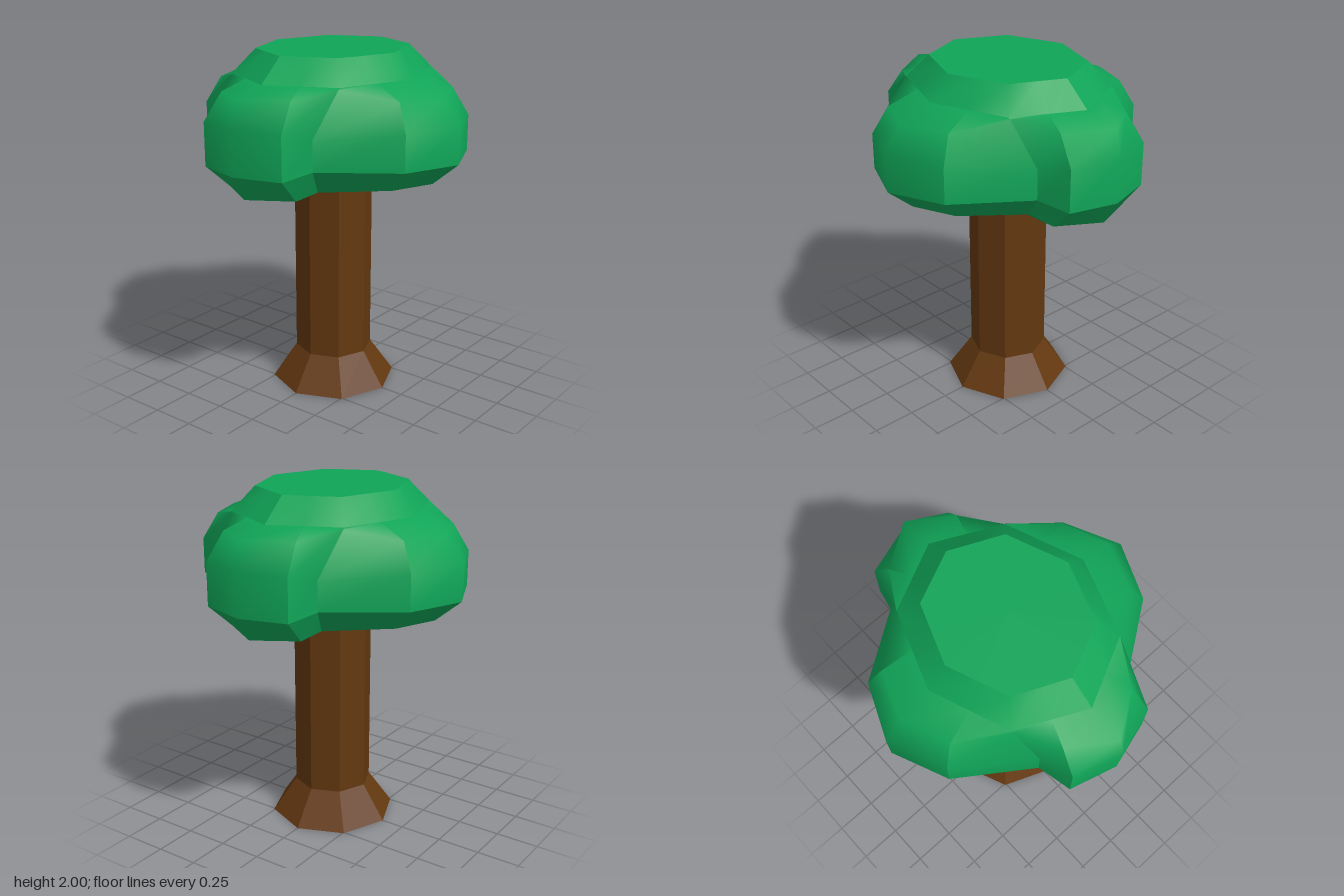
import * as THREE from 'three';
import { mergeGeometries } from 'three/addons/utils/BufferGeometryUtils.js';

// Crown columns for one quadrant, from the front lobe round to the side lobe.
// Each runs from the flat top down to the trunk as [x, y, z].
const QUADRANT = [
  [[0, 2, 0.41], [0, 1.87, 0.53], [0, 1.8, 0.72], [0, 1.66, 0.83], [0, 1.45, 0.825], [0, 1.32, 0.67], [0, 1.225, 0.22]],
  [[0.165, 2, 0.348], [0.215, 1.87, 0.45], [0.26, 1.8, 0.62], [0.31, 1.65, 0.695], [0.31, 1.45, 0.695], [0.24, 1.32, 0.57], [0.08, 1.225, 0.188]],
  [[0.33, 2, 0.285], [0.43, 1.87, 0.37], [0.44, 1.86, 0.368], [0.58, 1.62, 0.31], [0.58, 1.45, 0.31], [0.45, 1.3, 0.24], [0.156, 1.225, 0.156]],
  [[0.395, 2, 0.143], [0.52, 1.87, 0.185], [0.66, 1.82, 0.235], [0.77, 1.67, 0.265], [0.77, 1.43, 0.265], [0.62, 1.29, 0.23], [0.188, 1.225, 0.08]],
  [[0.46, 2, 0], [0.61, 1.87, 0], [0.815, 1.83, 0], [0.855, 1.68, 0], [0.845, 1.43, 0], [0.76, 1.29, 0], [0.22, 1.225, 0]],
];

// Mirror the quadrant into sixteen columns round the crown.
function crownPoint(column, row) {
  const k = (column + 16) % 16;
  const back = k > 4 && k < 12;
  const right = k > 8;
  const folded = k % 8 <= 4 ? k % 8 : 8 - (k % 8);
  const index = k <= 4 ? k : k <= 8 ? 8 - k : k <= 12 ? k - 8 : 16 - k;
  const [x, y, z] = QUADRANT[Math.min(index, Math.max(folded, index))][row];
  return [right ? -x : x, y, back ? -z : z];
}

// Smooth patch between two columns and two rows; patch borders stay sharp.
function patch(c0, c1, r0, r1) {
  const positions = [];
  const indices = [];
  const width = c1 - c0 + 1;
  for (let r = r0; r <= r1; r++) {
    for (let c = c0; c <= c1; c++) positions.push(...crownPoint(c, r));
  }
  for (let r = 0; r < r1 - r0; r++) {
    for (let c = 0; c < width - 1; c++) {
      const a = r * width + c;
      const d = a + width;
      indices.push(a, d, a + 1, d, d + 1, a + 1);
    }
  }
  return finish(positions, indices);
}

// Flat top of the crown
function cap() {
  const positions = [0, 2, 0];
  const indices = [];
  for (let c = 0; c < 16; c++) {
    positions.push(...crownPoint(c, 0));
    indices.push(0, c + 1, ((c + 1) % 16) + 1);
  }
  return finish(positions, indices);
}

function finish(positions, indices) {
  const geometry = new THREE.BufferGeometry();
  geometry.setAttribute('position', new THREE.Float32BufferAttribute(positions, 3));
  geometry.setIndex(indices);
  geometry.computeVertexNormals();
  return geometry;
}

export function createModel() {
  const model = new THREE.Group();
  model.name = 'tree';

  const leafGreen = new THREE.MeshStandardMaterial({ color: 0x10a457 });
  leafGreen.name = 'leafGreen';
  const barkBrown = new THREE.MeshStandardMaterial({ color: 0x633810 });
  barkBrown.name = 'barkBrown';

  const add = (name, geometry, material) => {
    const mesh = new THREE.Mesh(geometry, material);
    mesh.name = name;
    model.add(mesh);
    return mesh;
  };
  const faceted = (geometry) => {
    const flat = geometry.toNonIndexed();
    flat.computeVertexNormals();
    return flat;
  };

  // Eight-sided trunk and flared foot
  add('trunk', faceted(new THREE.CylinderGeometry(0.225, 0.225, 1.05, 8, 1, true)), barkBrown).position.y = 0.725;
  add('trunkFoot', faceted(new THREE.CylinderGeometry(0.225, 0.365, 0.2, 8)), barkBrown).position.y = 0.1;

  // Shoulder and underside, each in a front and a back half
  const parts = [cap()];
  for (const start of [-4, 4]) {
    parts.push(patch(start, start + 8, 0, 1), patch(start, start + 8, 5, 6));
  }
  // Four lobes, each followed by the two faces of the valley beside it
  for (const middle of [0, 4, 8, 12]) {
    for (const [from, to] of [[-1, 1], [1, 2], [2, 3]]) {
      parts.push(patch(middle + from, middle + to, 1, 4), patch(middle + from, middle + to, 4, 5));
    }
  }
  add('crown', mergeGeometries(parts), leafGreen);

  return model;
}
